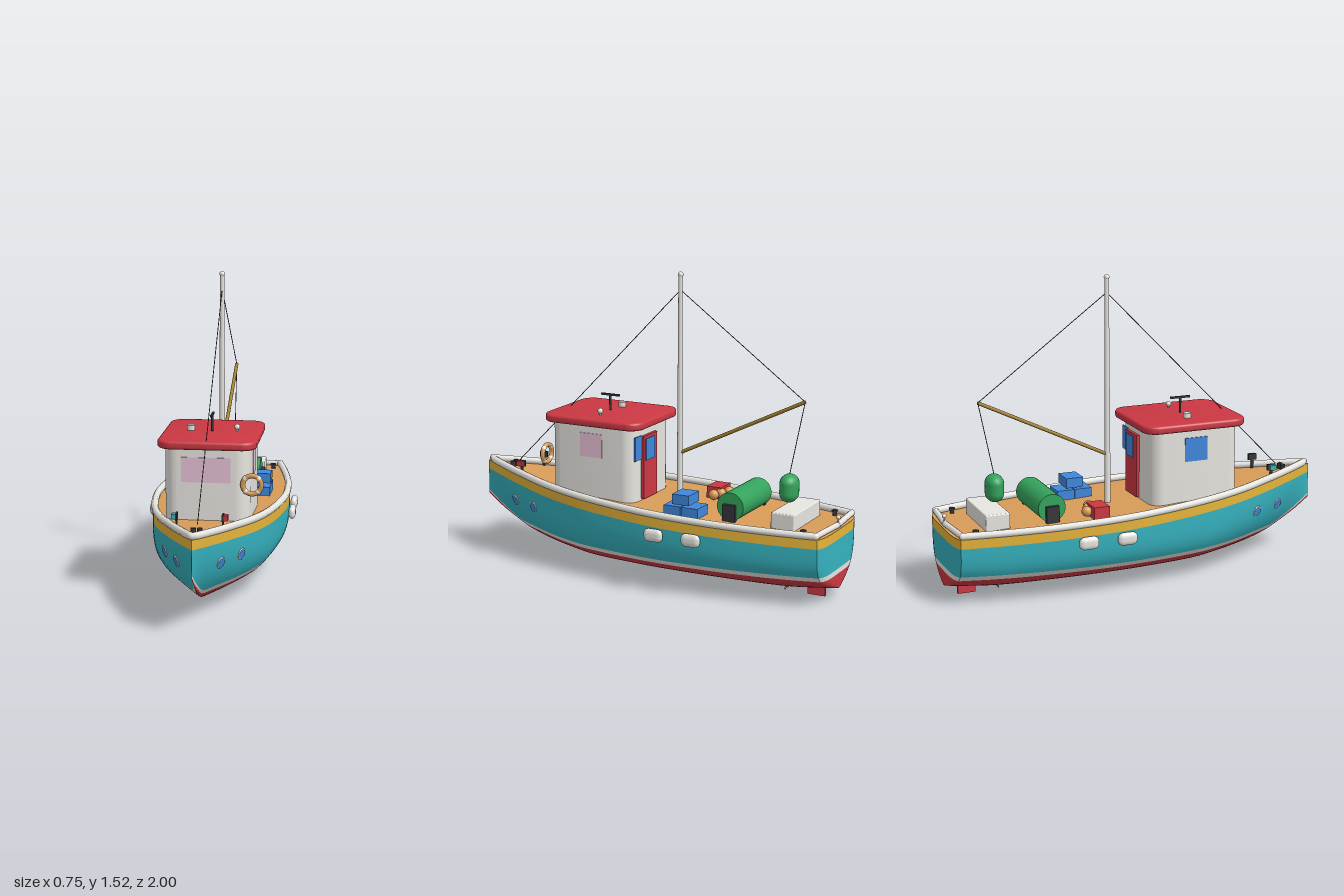
import * as THREE from 'three';
import { mergeGeometries, toCreasedNormals } from 'three/addons/utils/BufferGeometryUtils.js';
import { RoundedBoxGeometry } from 'three/addons/geometries/RoundedBoxGeometry.js';

const V = (x, y, z) => new THREE.Vector3(x, y, z);
const STERN = -0.972;

// Hull lines as (half width, keel height, z), bow to stern
const lines = new THREE.CatmullRomCurve3([
  V(0, 0.27, 1), V(0.045, 0.21, 0.917), V(0.086, 0.163, 0.837), V(0.125, 0.12, 0.757), V(0.172, 0.083, 0.65),
  V(0.228, 0.056, 0.516), V(0.287, 0.036, 0.3), V(0.328, 0.03, 0), V(0.337, 0.03, -0.2), V(0.318, 0.03, -0.5),
  V(0.275, 0.034, -0.78), V(0.235, 0.053, STERN)]);
const sheer = z => 0.384 + 0.052 * z + 0.018 * z * z;

function station(z) {
  let lo = 0, hi = 1;
  for (let i = 0; i < 30; i++) {
    const m = (lo + hi) / 2;
    if (lines.getPoint(m).z > z) lo = m; else hi = m;
  }
  const p = lines.getPoint((lo + hi) / 2);
  return { w: Math.max(p.x, 0), keel: p.y };
}

function hullX(z, y) {
  const { w, keel } = station(z), bow = THREE.MathUtils.clamp((z - 0.3) / 0.7, 0, 1);
  const u = THREE.MathUtils.clamp((y - keel) / (sheer(z) - keel), 0, 1);
  return w * Math.pow(1 - Math.pow(1 - u, 4.6 - 2.9 * bow), 0.8 + 0.2 * bow);
}

// Surface through rows of points
function grid(rows, flip = false) {
  const n = rows[0].length, index = [];
  for (let i = 0; i < rows.length - 1; i++) for (let j = 0; j < n - 1; j++) {
    const a = i * n + j, b = a + n;
    if (flip) index.push(a, b + 1, b, a, a + 1, b + 1);
    else index.push(a, b, b + 1, a, b + 1, a + 1);
  }
  const g = new THREE.BufferGeometry().setFromPoints(rows.flat());
  g.setIndex(index);
  g.computeVertexNormals();
  return g;
}

function roundedSlab(w, d, h, r, bevel = 0) {
  const s = new THREE.Shape(), x = w / 2 - bevel, y = d / 2 - bevel;
  s.moveTo(x, y - r);
  s.absarc(x - r, y - r, r, 0, Math.PI / 2);
  s.absarc(r - x, y - r, r, Math.PI / 2, Math.PI);
  s.absarc(r - x, r - y, r, Math.PI, Math.PI * 1.5);
  s.absarc(x - r, r - y, r, Math.PI * 1.5, Math.PI * 2);
  const g = new THREE.ExtrudeGeometry(s, { depth: h - 2 * bevel, bevelEnabled: bevel > 0, bevelSize: bevel, bevelThickness: bevel, bevelSegments: 4, curveSegments: 8 });
  return toCreasedNormals(g.rotateX(-Math.PI / 2).translate(0, bevel, 0), 0.6);
}

export function createModel() {
  const boat = new THREE.Group();
  boat.name = 'fishingBoat';
  const mat = {};
  const colors = { teal: 0x36b2bf, red: 0xcb3843, white: 0xf0eee8, yellow: 0xe6b43a, wood: 0xd89c58, green: 0x34a35c, blue: 0x4088dc, dark: 0x35363b, pink: 0xf8cfe6, brass: 0xa5832f };
  for (const [name, color] of Object.entries(colors)) {
    mat[name] = new THREE.MeshStandardMaterial({ color });
    mat[name].name = name;
  }
  const add = (name, geo, m, x = 0, y = 0, z = 0) => {
    const mesh = new THREE.Mesh(geo, mat[m]);
    mesh.name = name;
    mesh.position.set(x, y, z);
    boat.add(mesh);
    return mesh;
  };
  const box = (name, m, w, h, d, x, y, z) => add(name, new THREE.BoxGeometry(w, h, d), m, x, y, z);
  const ball = (name, m, r, x, y, z) => add(name, new THREE.SphereGeometry(r, 16, 12), m, x, y, z);
  const post = (name, m, r, h, x, y, z) => add(name, new THREE.CylinderGeometry(r, r, h, 14), m, x, y + h / 2, z);
  const rod = (name, m, r, a, b) => {
    const mesh = add(name, new THREE.CylinderGeometry(r, r, a.distanceTo(b), 10), m);
    mesh.position.lerpVectors(a, b, 0.5);
    mesh.quaternion.setFromUnitVectors(V(0, 1, 0), b.clone().sub(a).normalize());
  };

  // Hull in painted bands, with a slightly bowed transom
  const zs = Array.from({ length: 49 }, (_, i) => 1 - (1 - STERN) * Math.pow(i / 48, 1.2));
  const across = Array.from({ length: 17 }, (_, i) => Math.cos(Math.PI * i / 16));
  const bulge = c => STERN - 0.023 * (1 - Math.pow(c, 6));
  const red = z => Math.max(0.13, station(z).keel + 0.01);
  const white = z => Math.max(0.155, station(z).keel + 0.02);
  const bands = [
    ['bottomPaint', 'red', z => station(z).keel, red, 14],
    ['waterline', 'white', red, white, 2],
    ['topsides', 'teal', white, z => sheer(z) - 0.048, 10],
    ['sheerStripe', 'yellow', z => sheer(z) - 0.048, sheer, 2]];
  for (const [name, m, low, high, n] of bands) {
    const row = (z, side) => Array.from({ length: n + 1 }, (_, j) => {
      const y = THREE.MathUtils.lerp(low(z), high(z), Math.pow(j / n, n > 12 ? 1.6 : 1));
      return V(side * hullX(z, y), y, z);
    });
    const edge = row(STERN, 1);
    add(name, mergeGeometries([
      grid(zs.map(z => row(z, 1))),
      grid(zs.map(z => row(z, -1)), true),
      grid(across.map(c => edge.map(p => V(c * p.x, p.y, bulge(c)))))]), m);
  }
  const w = station(STERN).w, deckY = sheer(STERN) - 0.002;
  add('deck', mergeGeometries([
    grid(zs.map(z => [1, -1].map(s => V(s * station(z).w, sheer(z) - 0.002, z)))),
    grid([() => STERN, bulge].map(f => across.map(c => V(c * w, deckY, f(c)))))]), 'wood');

  // Gunwale rail, one run around the bow, closed by a stern rail
  const railPoint = (z, s) => V(s * Math.max(station(z).w - 0.011, 0), sheer(z) + 0.013, z);
  const sideZ = Array.from({ length: 21 }, (_, i) => 0.945 - 1.905 * i / 20);
  const run = [...sideZ.map(z => railPoint(z, 1)).reverse(), V(0, sheer(0.975) + 0.013, 0.975), ...sideZ.map(z => railPoint(z, -1))];
  add('gunwaleRail', new THREE.TubeGeometry(new THREE.CatmullRomCurve3(run), 160, 0.018, 10), 'white');
  for (const corner of [run[0], run[run.length - 1]]) {
    ball('railCorner', 'white', 0.018, corner.x, corner.y, corner.z);
    rod('sternRail', 'white', 0.015, corner, V(0, corner.y, -0.978));
  }

  // Wheelhouse
  add('cabin', roundedSlab(0.405, 0.47, 0.405, 0.065), 'white', 0, 0.36, 0.26);
  add('roof', roundedSlab(0.472, 0.55, 0.04, 0.062, 0.012), 'red', 0, 0.757, 0.255);
  box('frontWindow', 'pink', 0.235, 0.12, 0.006, -0.002, 0.656, 0.496);
  box('leftWindow', 'pink', 0.006, 0.12, 0.122, 0.2035, 0.658, 0.257);
  box('rightWindow', 'blue', 0.006, 0.12, 0.122, -0.2035, 0.658, 0.257);
  box('door', 'red', 0.14, 0.32, 0.018, 0.04, 0.55, 0.018);
  box('doorWindow', 'blue', 0.09, 0.11, 0.006, 0.05, 0.64, 0.007);
  box('rearWindow', 'blue', 0.065, 0.12, 0.008, 0.145, 0.655, 0.024);

  // Roof fittings
  post('roofVent', 'white', 0.02, 0.025, -0.105, 0.796, 0.25);
  post('lampStem', 'white', 0.006, 0.02, 0.12, 0.795, 0.25);
  ball('roofLamp', 'white', 0.014, 0.12, 0.817, 0.25);
  post('radarPost', 'dark', 0.006, 0.08, 0, 0.795, 0.26);
  box('radarBar', 'dark', 0.01, 0.01, 0.105, 0, 0.877, 0.26);

  // Life ring with white bands
  add('lifeRing', new THREE.TorusGeometry(0.044, 0.012, 10, 32), 'wood', 0.218, 0.593, 0.503);
  for (let i = 0; i < 4; i++) {
    const band = add('lifeRingBand', new THREE.TorusGeometry(0.044, 0.013, 10, 5, 0.3), 'white', 0.218, 0.593, 0.503);
    band.rotation.z = Math.PI / 4 + i * Math.PI / 2 - 0.15;
  }

  // Mast, boom and rigging
  add('mast', new THREE.CylinderGeometry(0.011, 0.016, 1.14, 16), 'white', 0, 0.94, -0.135);
  ball('mastCap', 'white', 0.014, 0, 1.51, -0.135);
  const head = V(0, 1.435, -0.135), tip = V(0, 0.945, -0.8);
  rod('boom', 'brass', 0.009, V(0, 0.625, -0.142), tip);
  rod('foreStay', 'dark', 0.002, head, V(0, 0.475, 0.805));
  rod('boomStay', 'dark', 0.002, head, tip);
  rod('hoistLine', 'dark', 0.002, tip, V(0, 0.58, -0.726));
  add('hangingFloat', new THREE.CapsuleGeometry(0.046, 0.048, 8, 20), 'green', 0, 0.515, -0.726).scale.x = 1.3;

  // Working deck gear
  add('sternLocker', new RoundedBoxGeometry(0.325, 0.085, 0.122, 3, 0.006), 'white', 0, 0.388, -0.762);
  const drum = add('netDrum', new THREE.CylinderGeometry(0.07, 0.07, 0.33, 28), 'green', 0, 0.43, -0.49);
  drum.rotation.z = Math.PI / 2;
  for (const s of [1, -1]) box('drumSupport', 'dark', 0.022, 0.085, 0.065, s * 0.174, 0.4, -0.49);
  for (const [y, z] of [[0.393, -0.214], [0.393, -0.308], [0.453, -0.26]])
    box('blueCrate', 'blue', 0.112, 0.05, 0.09, 0.185, y, z);
  box('redCrate', 'red', 0.112, 0.06, 0.08, -0.186, 0.4, -0.26);
  for (const [x, z] of [[-0.187, -0.318], [-0.14, -0.295], [-0.097, -0.275]])
    ball('netFloat', 'wood', 0.026, x, 0.4, z);

  // Paired fittings: fenders, portholes, bow lights, bollards
  for (const s of [1, -1]) {
    for (const [x, z] of [[0.357, -0.173], [0.351, -0.37]])
      add('fender', new RoundedBoxGeometry(0.054, 0.064, 0.1, 5, 0.0265), 'white', s * x, 0.294, z).scale.x = 0.66;
    for (const z of [0.77, 0.613]) {
      const y = 0.288, x = hullX(z, y), e = 0.01;
      const n = V(1, -(hullX(z, y + e) - hullX(z, y - e)) / (2 * e), -(hullX(z + e, y) - hullX(z - e, y)) / (2 * e)).normalize();
      n.x *= s;
      const ring = add('portholeRing', new THREE.TorusGeometry(0.0245, 0.004, 8, 24), 'white', s * x, y, z);
      const glass = add('portholeGlass', new THREE.CylinderGeometry(0.024, 0.024, 0.009, 24), 'blue', s * x, y, z);
      ring.quaternion.setFromUnitVectors(V(0, 0, 1), n);
      glass.quaternion.setFromUnitVectors(V(0, 1, 0), n);
    }
    box('lightBoard', 'dark', 0.008, 0.032, 0.046, s * 0.108, 0.49, 0.725);
    box('lightStand', 'dark', 0.008, 0.06, 0.015, s * 0.108, 0.45, 0.725);
    box('bowLight', s > 0 ? 'red' : 'teal', 0.02, 0.026, 0.034, s * 0.121, 0.49, 0.727);
    post('bowBollard', 'dark', 0.013, 0.035, s * 0.015, 0.432, 0.84);
    post('sternBollard', 'dark', 0.011, 0.025, s * 0.195, 0.345, -0.885);
    post('bollardCap', 'dark', 0.015, 0.008, s * 0.195, 0.369, -0.885);
  }
  post('sternLampPost', 'white', 0.004, 0.045, 0, 0.355, -0.982);
  ball('sternLamp', 'white', 0.011, 0, 0.403, -0.982);

  // Rudder and propeller
  box('rudder', 'red', 0.014, 0.07, 0.09, 0, 0.035, -0.88);
  ball('propellerHub', 'brass', 0.009, 0, 0.024, -0.722);
  for (let i = 0; i < 3; i++) {
    const a = Math.PI / 2 + i * Math.PI * 2 / 3;
    const blade = add('propellerBlade', new THREE.SphereGeometry(0.013, 10, 8), 'brass', Math.cos(a) * 0.016, 0.024 + Math.sin(a) * 0.015, -0.722);
    blade.scale.set(1, 0.6, 0.25);
    blade.rotation.z = a;
  }
  return boat;
}
